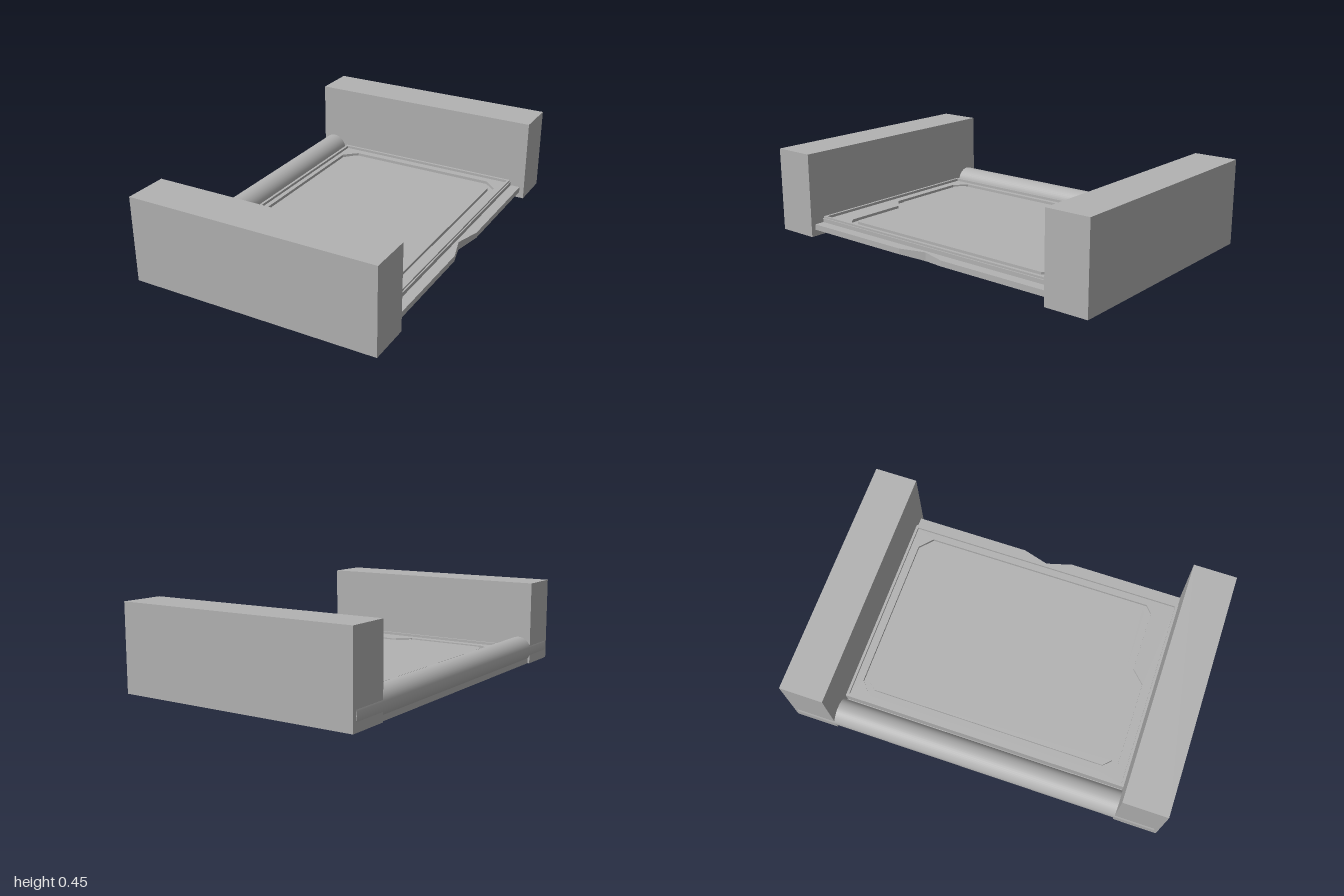
import * as THREE from 'three';

export function createModel() {
  const model = new THREE.Group();
  const grey = new THREE.MeshStandardMaterial({ color: 0xb2b2b2 });
  grey.name = 'plain grey';

  const add = (name, geometry) => {
    const mesh = new THREE.Mesh(geometry, grey);
    mesh.name = name;
    model.add(mesh);
    return mesh;
  };
  // Box given by its limits on each axis
  const box = (name, x0, x1, y0, y1, z0, z1) => {
    const g = new THREE.BoxGeometry(x1 - x0, y1 - y0, z1 - z0);
    g.translate((x0 + x1) / 2, (y0 + y1) / 2, (z0 + z1) / 2);
    return add(name, g);
  };
  const vectors = (pts) => pts.map(([x, z]) => new THREE.Vector2(x, z));
  const rect = (x0, x1, z) => [[x0, -z], [x1, -z], [x1, z], [x0, z]];
  // Flat plate from an (x, z) outline with holes, hanging down from its top
  const plate = (name, outline, holes, top, thickness) => {
    const shape = new THREE.Shape(vectors(outline));
    holes.forEach((h) => shape.holes.push(new THREE.Path(vectors(h))));
    const g = new THREE.ExtrudeGeometry(shape, { depth: thickness, bevelEnabled: false });
    g.rotateX(Math.PI / 2);
    g.translate(0, top, 0);
    return add(name, g);
  };

  // End blocks
  box('frontBlock', -0.655, 0.655, 0, 0.45, 0.77, 1);
  box('backBlock', -0.655, 0.655, 0, 0.45, -1, -0.77);

  // Round bar along the right-hand edge
  const bar = new THREE.CylinderGeometry(0.0725, 0.0725, 1.96, 48);
  bar.rotateX(Math.PI / 2);
  bar.translate(-0.5875, 0.0725, 0);
  add('roundBar', bar);

  // Tray core
  box('barBed', -0.645, -0.5, 0.012, 0.03, -0.77, 0.77);
  box('trayCore', -0.5, 0.575, 0.012, 0.066, -0.77, 0.77);
  box('sideStep', 0.56, 0.575, 0.066, 0.086, -0.77, 0.77);

  // Underside with grooves that bend around the thumb notch
  const grooves = [];
  for (let i = 0; i < 9; i++) {
    const x = 0.5 - i * 0.058;
    const bend = 0.07 * (1 - i / 8);
    const a = [], b = [];
    for (let k = 0; k <= 32; k++) {
      const z = -0.75 + (1.5 * k) / 32;
      const cx = x - bend * Math.exp(-((z / 0.2) ** 2));
      a.push([cx - 0.006, z]);
      b.unshift([cx + 0.006, z]);
    }
    grooves.push([...a, ...b]);
  }
  plate('groovedUnderside', rect(-0.645, 0.535, 0.77), grooves, 0.012, 0.012);

  // Raised rim and panel surround
  plate('trayRim', rect(-0.5, 0.568, 0.77), [rect(-0.486, 0.556, 0.756)], 0.096, 0.03);
  const outer = [[-0.46, -0.65], [-0.39, -0.715], [0.45, -0.715], [0.52, -0.65], [0.52, 0.605],
    [0.48, 0.64], [0.14, 0.64], [0.07, 0.71], [-0.39, 0.71], [-0.46, 0.65]];
  const inner = [[-0.42, -0.64], [-0.385, -0.68], [0.44, -0.68], [0.49, -0.63], [0.49, 0.59],
    [0.475, 0.605], [0.13, 0.605], [0.06, 0.675], [-0.38, 0.675], [-0.42, 0.635]];
  plate('panelSurround', rect(-0.486, 0.556, 0.756), [outer], 0.082, 0.016);
  plate('centrePanel', inner, [], 0.082, 0.016);

  // Side lip with sloping underside and a V-shaped thumb notch
  const sections = [[-0.77, 0.63], [-0.14, 0.63], [0, 0.59], [0.14, 0.63], [0.77, 0.63]].map(([z, e]) =>
    [[0.535, 0], [e, 0.035 * (e - 0.535) / 0.095], [e, 0.065], [0.535, 0.065]].map(([x, y]) => [x, y, z]));
  const pos = [];
  for (let s = 0; s < sections.length - 1; s++) {
    for (let j = 0; j < 4; j++) {
      const a = sections[s][j], b = sections[s][(j + 1) % 4];
      const c = sections[s + 1][(j + 1) % 4], d = sections[s + 1][j];
      pos.push(...a, ...b, ...c, ...a, ...c, ...d);
    }
  }
  const lip = new THREE.BufferGeometry();
  lip.setAttribute('position', new THREE.Float32BufferAttribute(pos, 3));
  lip.computeVertexNormals();
  add('sideLip', lip);

  return model;
}
